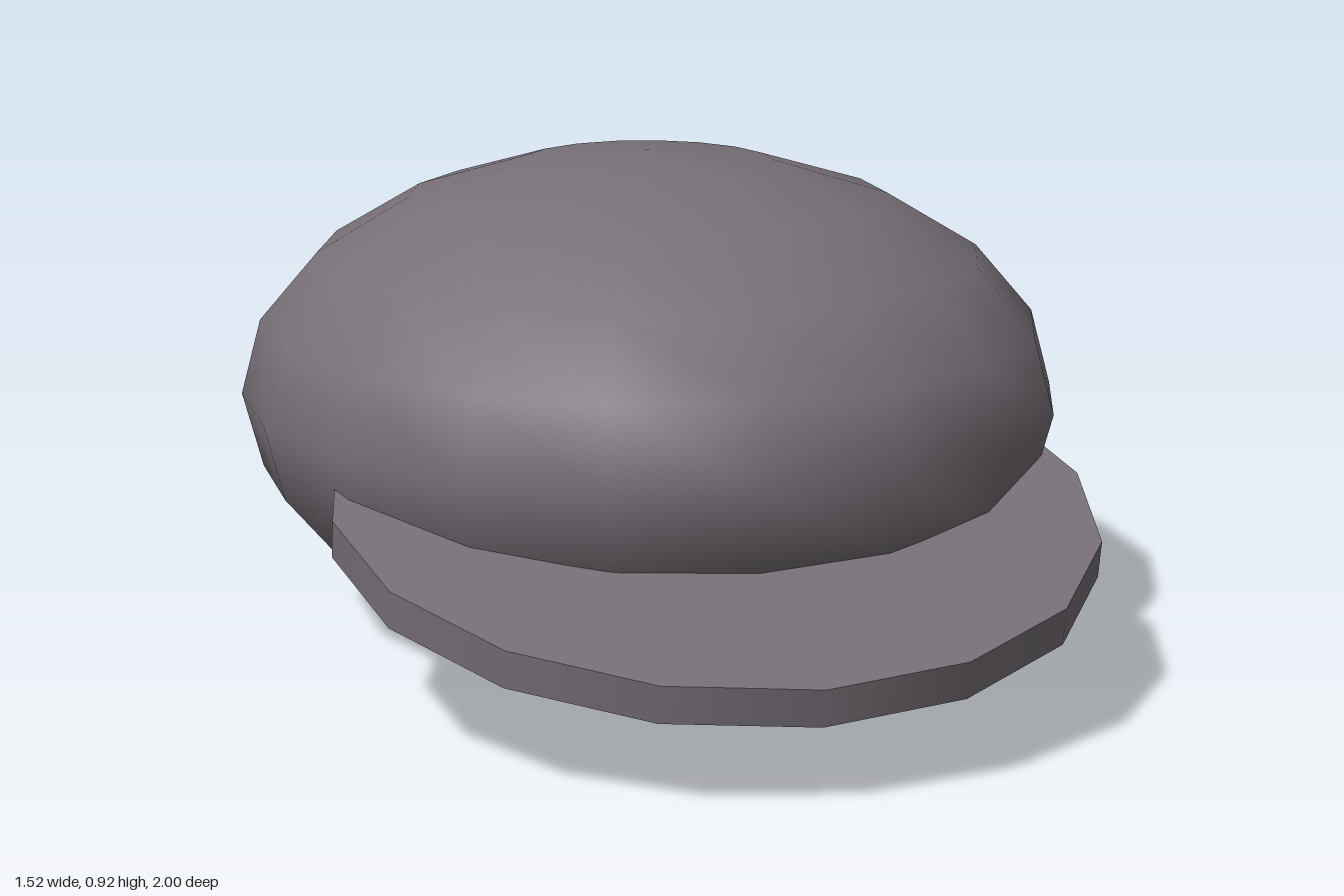
import * as THREE from 'three';

export function createModel() {
  const group = new THREE.Group();
  const cloth = new THREE.MeshStandardMaterial({ color: 0x777077 });
  cloth.name = 'greyCloth';

  // Crown: squashed sphere with a column of vertices on the front centre line
  const crown = new THREE.Mesh(new THREE.SphereGeometry(1, 18, 10, Math.PI / 2), cloth);
  crown.name = 'crown';
  crown.scale.set(0.77, 0.459, 0.83);
  crown.position.set(0, 0.46, -0.17);
  group.add(crown);

  // Brim: thin disc tilted down at the front, its rear half inside the crown
  const brim = new THREE.Mesh(new THREE.CylinderGeometry(1, 1, 0.07, 16), cloth);
  brim.name = 'brim';
  brim.scale.set(0.69, 1, 0.706);
  brim.rotation.x = THREE.MathUtils.degToRad(12.3);
  brim.position.set(0, 0.331, 0.305);
  group.add(brim);

  return group;
}
